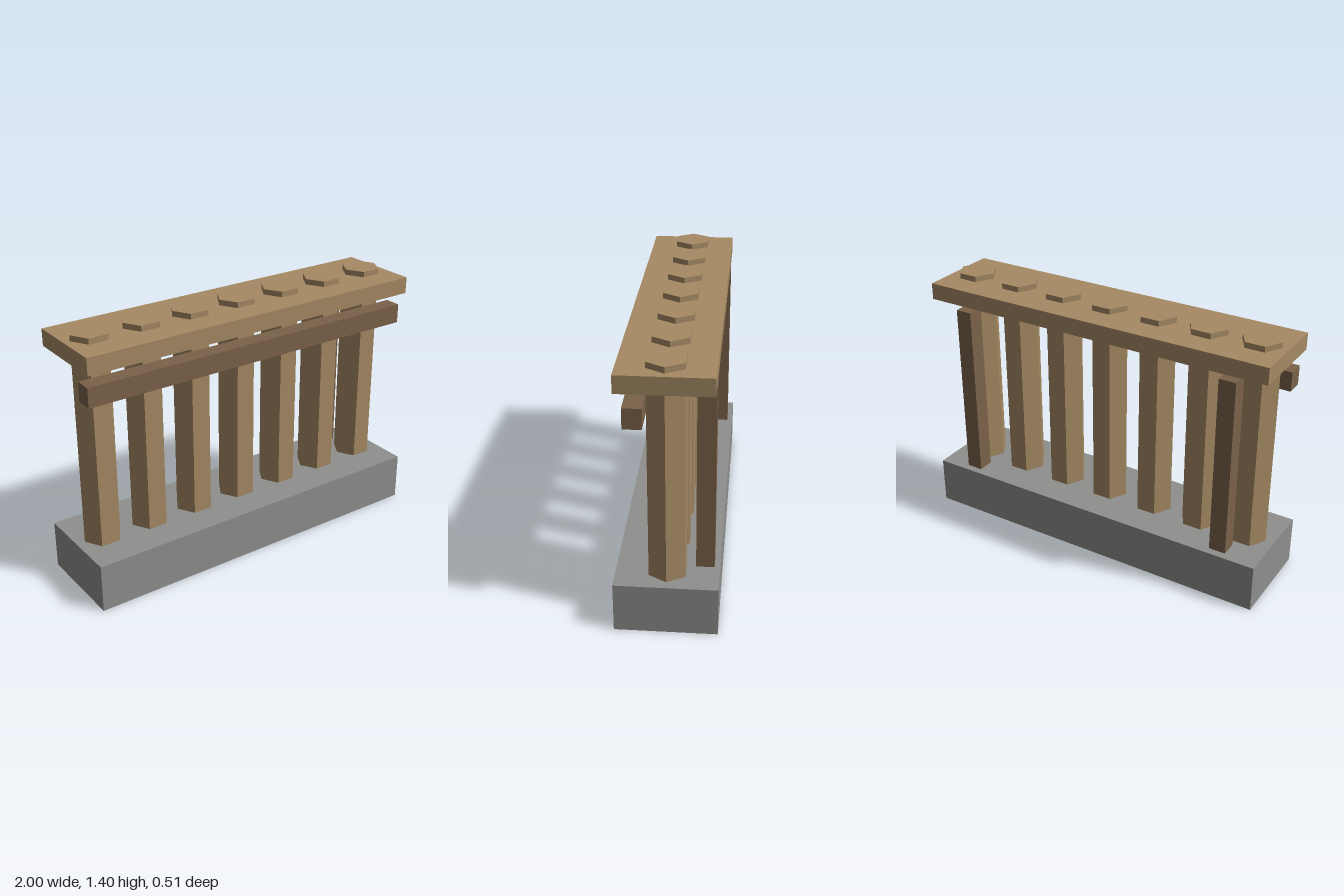
import * as THREE from 'three';

export function createModel() {
  const model = new THREE.Group();
  const material = (name, color) => {
    const m = new THREE.MeshStandardMaterial({ color });
    m.name = name;
    return m;
  };
  const stone = material('grey stone', 0x8f8f8d);
  const wood = material('light wood', 0xa68a64);
  const darkWood = material('dark wood', 0x7b6249);
  wood.flatShading = true;

  const add = (name, geometry, mat, x, y, z) => {
    const mesh = new THREE.Mesh(geometry, mat);
    mesh.name = name;
    mesh.position.set(x, y, z);
    model.add(mesh);
  };
  // Box spanning y0 to y1
  const box = (name, mat, w, y0, y1, d, x = 0, z = 0) =>
    add(name, new THREE.BoxGeometry(w, y1 - y0, d), mat, x, (y0 + y1) / 2, z);

  // Stone footing
  box('base', stone, 2, 0, 0.262, 0.51);

  // Row of hexagonal posts, corners pointing sideways, tips passing through the cap
  const postGeometry = new THREE.CylinderGeometry(0.104, 0.104, 1.138, 6, 1, false, Math.PI / 6);
  for (let i = -3; i <= 3; i++) {
    add('post' + (i + 4), postGeometry, wood, i * 0.283, 0.831, 0);
  }

  // Cap plank over the posts
  box('capPlank', wood, 1.975, 1.28, 1.37, 0.456);

  // Front rail
  box('frontRail', darkWood, 1.95, 1.1, 1.205, 0.091, 0, 0.146);

  // Two back braces, just clear of the base
  for (const side of [-1, 1]) {
    box(side > 0 ? 'leftBackBrace' : 'rightBackBrace', darkWood, 0.091, 0.273, 1.25, 0.091, side * 0.782, -0.182);
  }
  return model;
}
